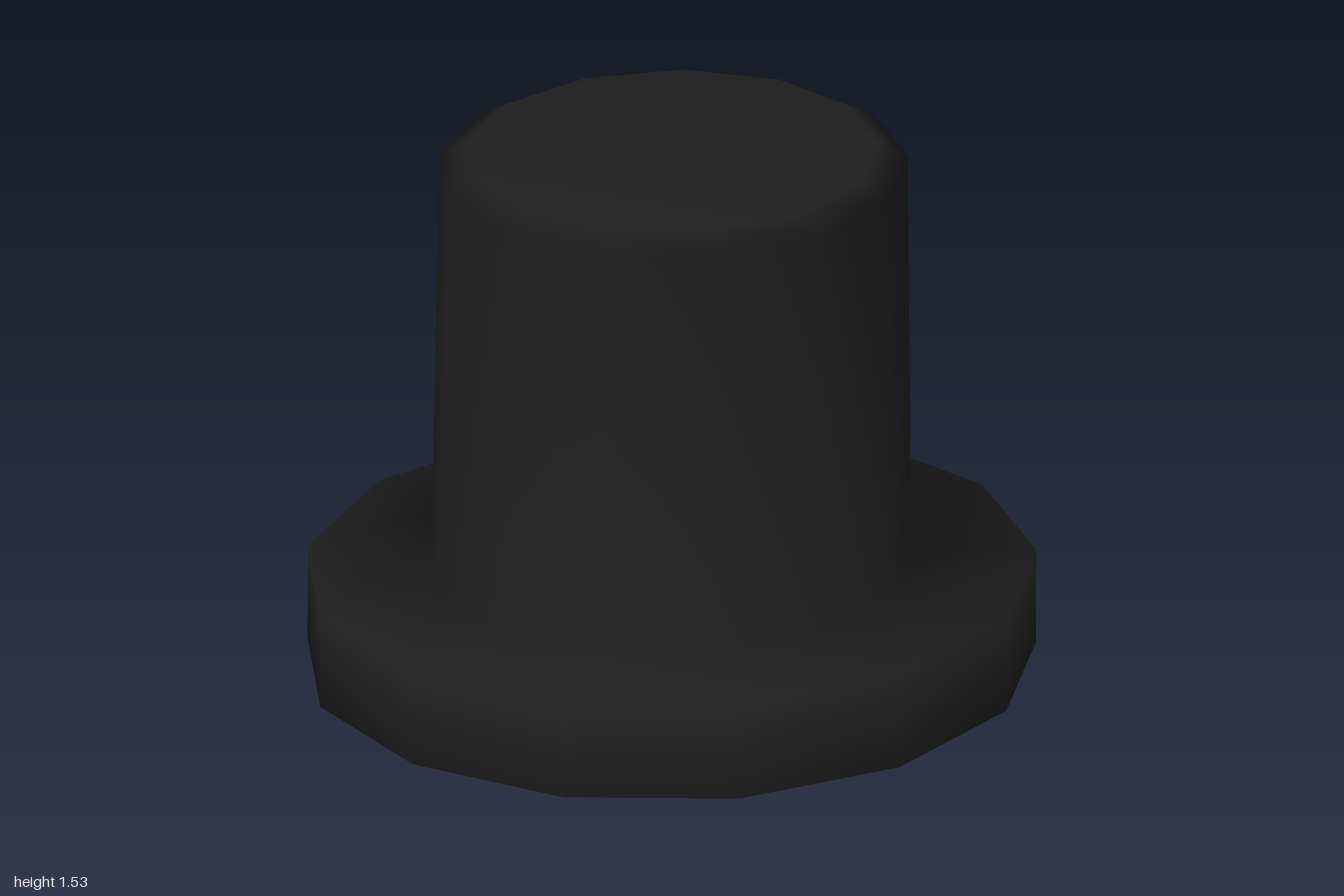
import * as THREE from 'three';
import { mergeVertices } from 'three/addons/utils/BufferGeometryUtils.js';

// Thirteen-sided top hat, smooth shaded, with a recess in the bottom
export function createModel() {
  const model = new THREE.Group();
  model.name = 'topHat';
  const material = new THREE.MeshStandardMaterial({ color: 0x1e1e1e });

  // Each section is a list of [radius, height], running from the inside out
  const recess = [[0, 0.7], [0.55, 0.7], [0.565, 0.03]];
  const underside = [[0.94, 0.025], [1.01, 0.01]];
  const brimTop = [[1.01, 0.287], [0.665, 0.312]];
  const crown = [[0.65, 1.485], [0.57, 1.527], [0, 1.527]];

  const profile = [...recess, ...underside, ...brimTop, ...crown]
    .map(([r, y]) => new THREE.Vector2(r, y));
  const lathe = new THREE.LatheGeometry(profile, 13, THREE.MathUtils.degToRad(93));

  // The cross-section is a slightly skewed oval rather than a true circle
  const pos = lathe.attributes.position;
  for (let i = 0; i < pos.count; i++) {
    const z = pos.getZ(i);
    pos.setX(i, pos.getX(i) - 0.042 * z);
    pos.setZ(i, 0.98 * z);
  }

  // Weld the seam so the smooth normals run all the way round
  lathe.deleteAttribute('uv');
  lathe.deleteAttribute('normal');
  const geometry = mergeVertices(lathe);
  geometry.computeVertexNormals();

  const hat = new THREE.Mesh(geometry, material);
  hat.name = 'brimAndCrown';

  // The hat sits with a very slight lean
  hat.rotation.set(0.008, 0, -0.004);
  hat.position.set(-0.01, 0, 0.005);
  model.add(hat);
  return model;
}
